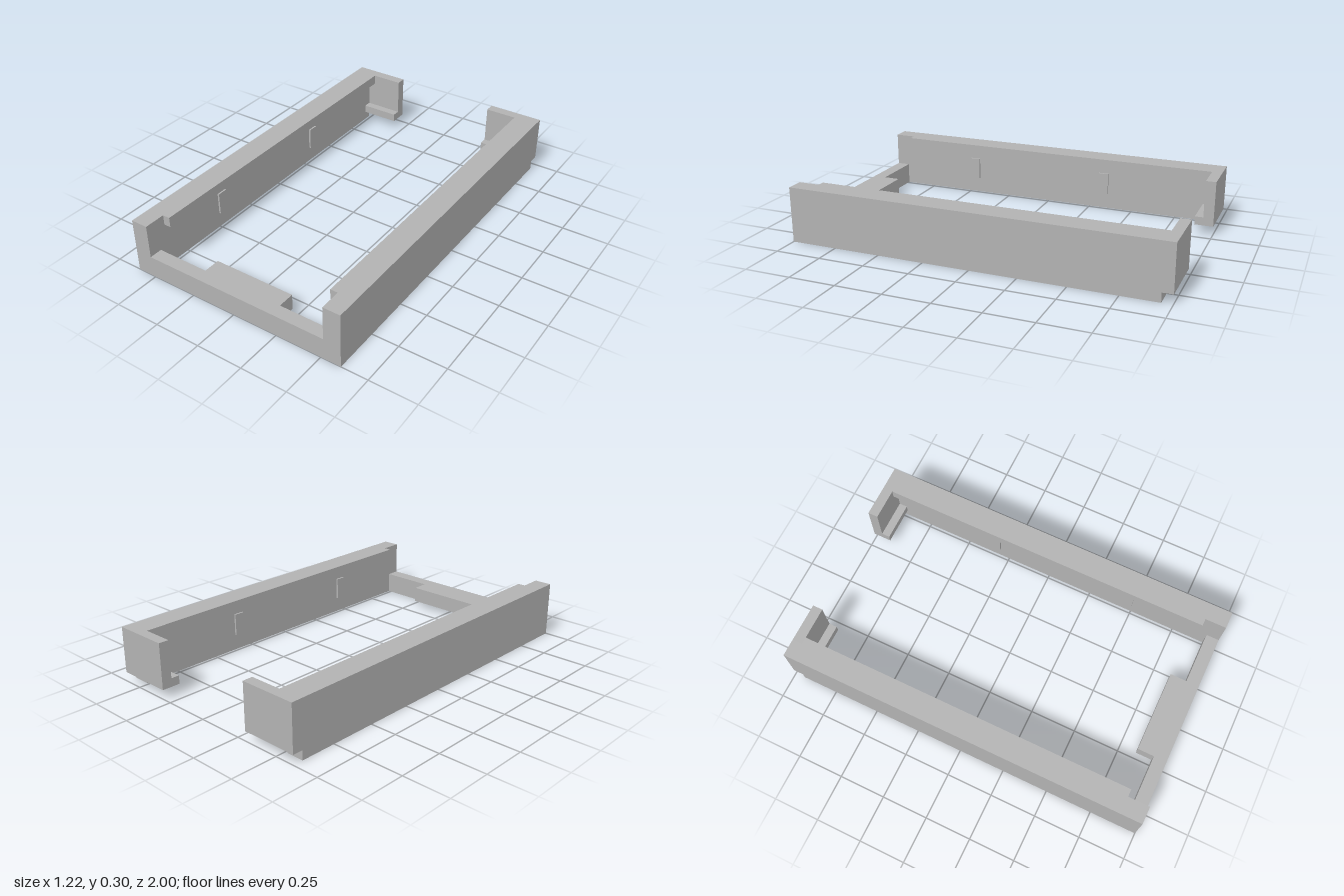
import * as THREE from 'three';

export function createModel() {
  const model = new THREE.Group();
  model.name = 'slideInBracket';
  const grey = new THREE.MeshStandardMaterial({ color: 0xb2b2b2 });
  grey.name = 'plain grey';

  // Box given by its lower and upper corner on each axis
  function block(name, [x0, x1], [y0, y1], [z0, z1], parent = model) {
    const mesh = new THREE.Mesh(new THREE.BoxGeometry(x1 - x0, y1 - y0, z1 - z0), grey);
    mesh.position.set((x0 + x1) / 2, (y0 + y1) / 2, (z0 + z1) / 2);
    mesh.name = name;
    parent.add(mesh);
  }

  const W = 0.608, H = 0.297; // half width and height
  const inner = 0.515;        // inner face of the side walls
  const backZ = -0.945;       // inner face of the back hooks
  const step = 0.05;          // height of the notch under the back

  // Side wall profile (along -z, up y) with the notch at the lower back corner
  const profile = new THREE.Shape([
    [-1, 0], [-backZ, 0], [-backZ, step], [1, step], [1, H], [-1, H],
  ].map(([s, y]) => new THREE.Vector2(s, y)));

  for (const side of [1, -1]) {
    const half = new THREE.Group();
    half.name = side > 0 ? 'leftSide' : 'rightSide';
    model.add(half);
    const span = (a, b) => (side > 0 ? [a, b] : [-b, -a]);

    const wallGeo = new THREE.ExtrudeGeometry(profile, { depth: W - inner, bevelEnabled: false });
    wallGeo.rotateY(Math.PI / 2);
    const wall = new THREE.Mesh(wallGeo, grey);
    wall.position.x = side > 0 ? inner : -W;
    wall.name = 'sideWall';
    half.add(wall);

    // Overhanging lip, stopping short of the front
    block('topLip', span(0.475, inner), [0.242, H], [backZ, 0.885], half);
    // Back hook and the ledge at its foot
    block('backHook', span(0.302, inner), [step, H], [-1, backZ], half);
    block('hookLedge', span(0.302, inner), [step, 0.095], [backZ, -0.9], half);
    // Small raised pads on the inner wall
    for (const z of [0.47, -0.33]) {
      block('wallPad', span(0.505, inner), [0.085, 0.205], [z - 0.028, z + 0.028], half);
    }
  }

  // Low front bar with its inward tab
  block('frontBar', [-inner, inner], [0, 0.115], [0.93, 1]);
  block('frontTab', [-0.225, 0.225], [0.03, 0.115], [0.84, 0.93]);

  return model;
}
